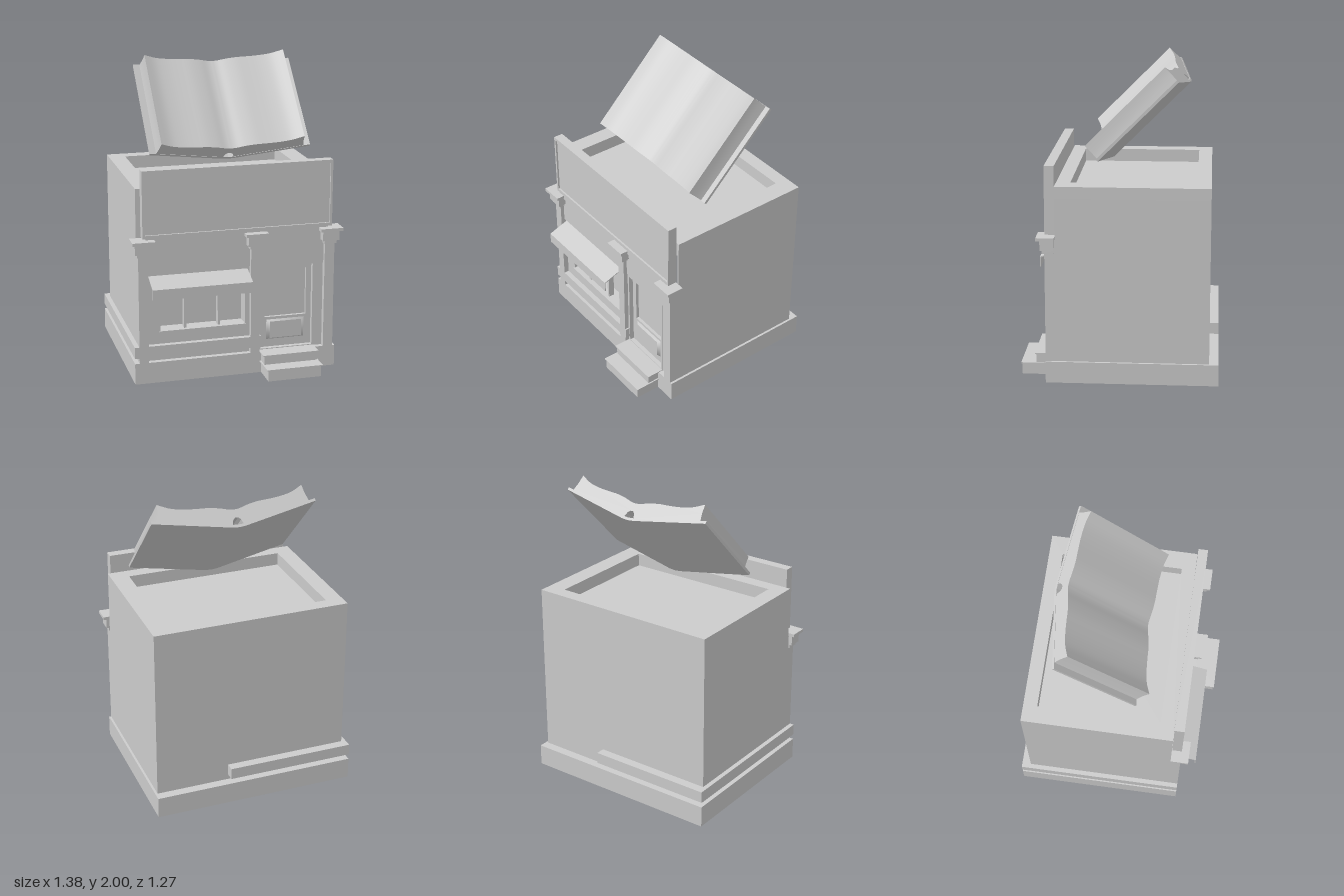
import * as THREE from 'three';
import { toCreasedNormals } from 'three/addons/utils/BufferGeometryUtils.js';

const mat = new THREE.MeshStandardMaterial({ color: 0xcccccc, side: THREE.DoubleSide });

export function createModel() {
  const model = new THREE.Group();

  const add = (name, geometry, parent = model) => {
    const mesh = new THREE.Mesh(geometry, mat);
    mesh.name = name;
    parent.add(mesh);
    return mesh;
  };
  // Box given by its limits on each axis
  const box = (name, x0, x1, y0, y1, z0, z1, parent) => {
    const mesh = add(name, new THREE.BoxGeometry(x1 - x0, y1 - y0, z1 - z0), parent);
    mesh.position.set((x0 + x1) / 2, (y0 + y1) / 2, (z0 + z1) / 2);
    return mesh;
  };
  const rect = (x0, x1, y0, y1, Type = THREE.Shape) =>
    new Type([[x0, y0], [x1, y0], [x1, y1], [x0, y1]].map(p => new THREE.Vector2(...p)));
  const extrude = (shape, depth) =>
    new THREE.ExtrudeGeometry(shape, { depth, bevelEnabled: false });
  // Upright frame facing +z
  const frame = (name, outer, inner, z0, z1) => {
    const s = rect(...outer);
    s.holes.push(rect(...inner, THREE.Path));
    add(name, extrude(s, z1 - z0)).position.z = z0;
  };
  // Horizontal ring; limits are x0, x1, z0, z1
  const ring = (name, o, i, y0, y1) => {
    const s = rect(o[0], o[1], -o[3], -o[2]);
    s.holes.push(rect(i[0], i[1], -i[3], -i[2], THREE.Path));
    const mesh = add(name, extrude(s, y1 - y0));
    mesh.rotation.x = -Math.PI / 2;
    mesh.position.y = y0;
  };

  // Hollow plinth, walls, parapet and sunken roof
  ring('plinth', [-0.68, 0.66, -0.635, 0.46], [-0.64, 0.635, -0.565, 0.4], 0, 0.14);
  ring('walls', [-0.65, 0.645, -0.575, 0.395], [-0.64, 0.635, -0.565, 0.3], 0.14, 0.16);
  const sides = new THREE.Group();
  sides.name = 'outerWalls';
  model.add(sides);
  box('leftWall', 0.635, 0.645, 0.14, 1.2, -0.575, 0.395, sides);
  box('rightWall', -0.65, -0.64, 0.14, 1.2, -0.575, 0.395, sides);
  box('backWall', -0.64, 0.635, 0.14, 1.2, -0.575, -0.565, sides);
  ring('parapet', [-0.65, 0.645, -0.575, 0.395], [-0.54, 0.525, -0.485, 0.305], 1.18, 1.275);
  box('roof', -0.6, 0.6, 1.18, 1.19, -0.55, 0.36);

  // Low band around the front, right side and part of the back
  box('frontBand', -0.68, 0.155, 0.175, 0.25, 0.4, 0.46);
  box('sideBand', -0.68, -0.65, 0.175, 0.25, -0.635, 0.46);
  box('backBand', -0.65, 0.16, 0.175, 0.25, -0.635, -0.575);

  // Pilasters with stepped capitals
  for (const [x0, x1] of [[-0.65, -0.59], [0.085, 0.145], [0.58, 0.645]]) {
    const c = (x0 + x1) / 2;
    const pilaster = new THREE.Group();
    pilaster.name = 'pilaster';
    model.add(pilaster);
    box('shaft', x0, x1, 0.14, 0.95, 0.39, 0.46, pilaster);
    box('capitalNeck', c - 0.04, c + 0.04, 0.848, 0.87, 0.4, 0.475, pilaster);
    box('capitalBlock', c - 0.055, c + 0.055, 0.87, 0.937, 0.4, 0.487, pilaster);
    box('capitalTop', c - 0.074, c + 0.074, 0.937, 0.957, 0.395, 0.51, pilaster);
  }

  // Sign board with a raised rim
  box('signBoard', -0.61, 0.615, 0.965, 1.39, 0.397, 0.448);
  frame('signRim', [-0.62, 0.625, 0.965, 1.4], [-0.605, 0.61, 0.985, 1.38], 0.397, 0.46);
  box('lintel', -0.6, 0.6, 0.93, 0.965, 0.39, 0.457);
  box('upperFacade', -0.6, 0.6, 0.725, 0.93, 0.38, 0.435);

  // Shop window
  frame('windowWall', [-0.59, 0.085, 0.14, 0.725], [-0.505, 0.055, 0.335, 0.64], 0.37, 0.425);
  frame('windowBox', [-0.515, 0.065, 0.325, 0.65], [-0.505, 0.055, 0.335, 0.64], 0.32, 0.37);
  box('windowPane', -0.51, 0.06, 0.33, 0.645, 0.32, 0.33);
  for (const x of [-0.338, -0.115]) box('mullion', x - 0.008, x + 0.008, 0.335, 0.64, 0.37, 0.41);
  box('windowSill', -0.51, 0.06, 0.322, 0.337, 0.37, 0.435);

  // Awning: sloped sheet with a hanging valance
  const awning = new THREE.Shape();
  [[0.42, 0.705], [0.555, 0.655], [0.555, 0.59], [0.561, 0.59], [0.561, 0.66], [0.42, 0.711]]
    .forEach(([z, y], i) => (i ? awning.lineTo(-z, y) : awning.moveTo(-z, y)));
  const sheet = add('awning', extrude(awning, 0.65));
  sheet.rotation.y = Math.PI / 2;
  sheet.position.x = -0.58;

  // Door with a pane and a raised lower panel
  box('doorSide', 0.51, 0.58, 0.14, 0.725, 0.37, 0.425);
  frame('doorFrame', [0.145, 0.525, 0.14, 0.725], [0.16, 0.51, 0.15, 0.708], 0.36, 0.43);
  frame('door', [0.16, 0.51, 0.14, 0.71], [0.195, 0.475, 0.355, 0.675], 0.365, 0.4);
  box('doorPane', 0.19, 0.48, 0.35, 0.68, 0.37, 0.38);
  const panel = new THREE.CylinderGeometry(0.16, 0.2, 0.02, 4, 1);
  panel.rotateY(Math.PI / 4).rotateX(Math.PI / 2).scale(0.95, 0.5, 1);
  add('doorLowerPanel', panel.toNonIndexed()).position.set(0.335, 0.27, 0.405);

  // Entrance steps with thin overhanging treads
  [[0.545, 0, 0.145], [0.635, 0, 0.08]].forEach(([z, y0, y1]) => {
    box('step', 0.157, 0.513, y0, y1 - 0.008, 0.4, z - 0.007);
    box('tread', 0.147, 0.522, y1 - 0.008, y1, 0.4, z);
  });

  // Open book tilted above the roof; profiles are across the spine
  const book = new THREE.Group();
  book.name = 'book';
  book.position.set(0.037, 1.845, -0.435);
  book.rotation.x = Math.PI / 4;
  model.add(book);

  const cover = new THREE.Shape(
    [[-0.537, 0.1], [-0.045, 0.004], [0, 0], [0.045, 0.004], [0.537, 0.1],
      [0.537, 0.118], [0.045, 0.022], [0, 0.018], [-0.045, 0.022], [-0.537, 0.118]]
      .map(p => new THREE.Vector2(...p)));
  add('cover', extrude(cover, 0.7), book);

  const half = [[0, 0.12], [0.035, 0.124], [0.09, 0.14], [0.16, 0.153], [0.24, 0.158],
    [0.32, 0.166], [0.4, 0.184], [0.475, 0.22]];
  const curve = new THREE.SplineCurve(half.map(p => new THREE.Vector2(...p))).getPoints(24);
  const side = [[0.482, 0.16], [0.495, 0.108], [0.035, 0.02], [0.026, 0.05], [0.01, 0.066]]
    .map(p => new THREE.Vector2(...p));
  const right = [...curve, ...side];
  const left = right.slice(1).reverse().map(p => new THREE.Vector2(-p.x, p.y));
  const pages = extrude(new THREE.Shape([...right, ...left]), 0.696);
  add('pages', toCreasedNormals(pages, 0.4), book).position.z = 0.002;

  return model;
}
